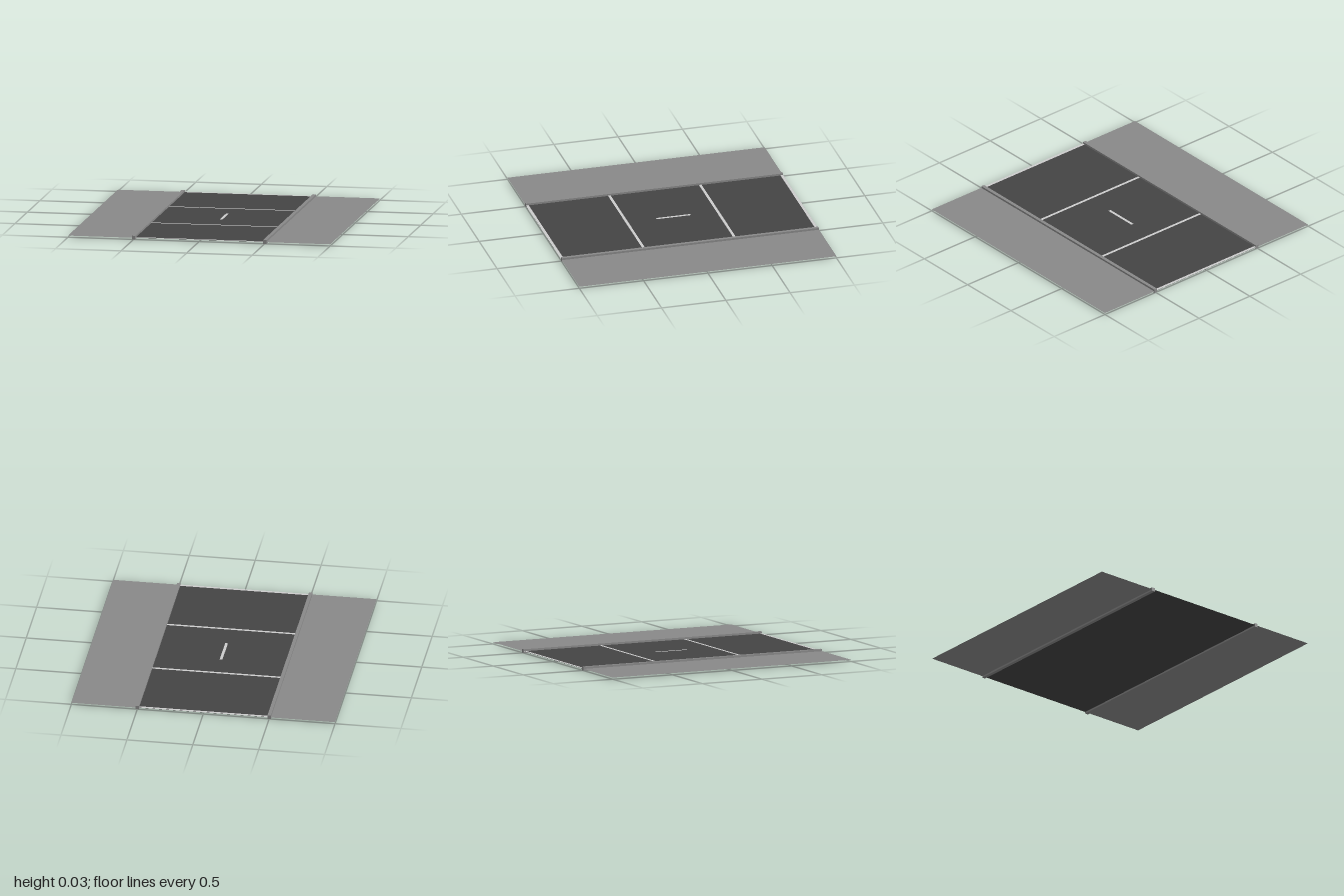
import * as THREE from 'three';

export function createModel() {
  const model = new THREE.Group();
  model.name = 'roadSection';

  const make = (name, color) => {
    const m = new THREE.MeshStandardMaterial({ color });
    m.name = name;
    return m;
  };
  const concrete = make('concrete grey', 0x888888);
  const asphalt = make('asphalt', 0x444444);
  const paint = make('road paint', 0xcccccc);
  // the ground sheets have no thickness, so they show from both sides
  concrete.side = asphalt.side = THREE.DoubleSide;

  const LEVEL = 0.013; // height of the ground sheets
  const CURB = 0.026;  // curb width

  // horizontal sheet facing up
  const sheet = (name, mat, w, d, x, y, z) => {
    const mesh = new THREE.Mesh(new THREE.PlaneGeometry(w, d).rotateX(-Math.PI / 2), mat);
    mesh.name = name;
    mesh.position.set(x, y, z);
    model.add(mesh);
  };

  // carriageway
  sheet('road', asphalt, 1, 2, 0, LEVEL, 0);

  // pavement and curb on each side
  for (const [side, s] of [['left', 1], ['right', -1]]) {
    sheet(side + 'Pavement', concrete, 0.5, 2, s * 0.75, LEVEL, 0);
    const curb = new THREE.Mesh(new THREE.BoxGeometry(CURB, 0.028, 2), concrete);
    curb.name = side + 'Curb';
    curb.position.set(s * 0.5, 0.014, 0);
    model.add(curb);
  }

  // painted cross lines
  [-0.99, -0.355, 0.352, 0.99].forEach((z, i) =>
    sheet('crossLine' + (i + 1), paint, 1 - CURB, 0.021, 0, LEVEL + 0.002, z));

  // short dash in the middle of the road
  sheet('centreDash', paint, 0.021, 0.267, 0, LEVEL + 0.002, -0.011);

  return model;
}
